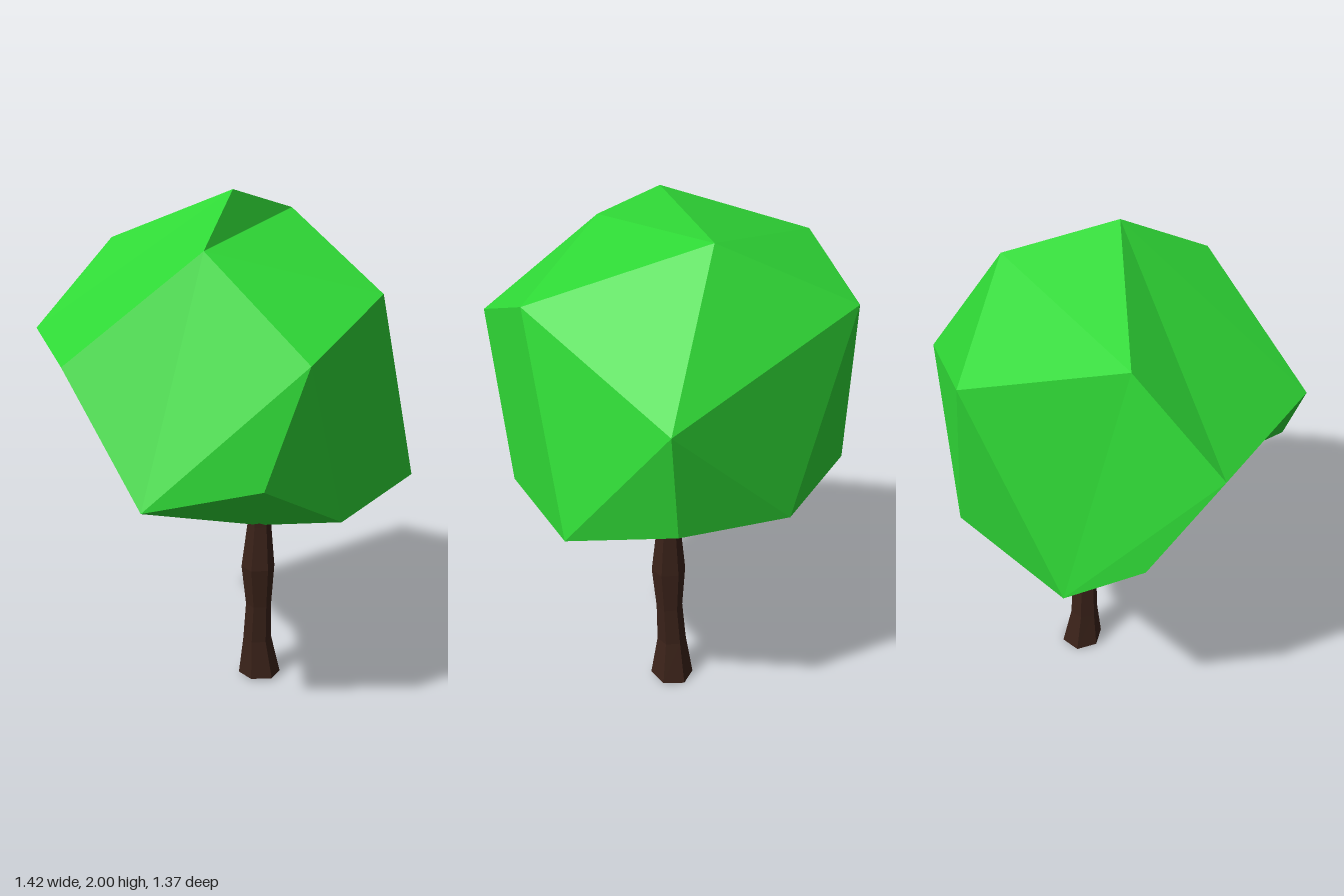
import * as THREE from 'three';

// Corners of the crown: a dented, uneven dodecahedron
const CORNERS = {
  A: [-0.03, 2.0, 0.03], B: [0.35, 1.9, -0.11], C: [-0.3, 1.83, 0.24], D: [0.25, 1.67, 0.53],
  E: [-0.19, 1.51, 0.68], F: [-0.715, 1.44, -0.02], G: [0.71, 1.38, 0.07], H: [-0.63, 1.0, 0.34],
  I: [-0.32, 1.09, 0.61], J: [0.03, 0.9, 0.6], K: [0.54, 0.92, 0.42], L: [0.66, 0.98, 0.04],
  M: [0.35, 1.67, -0.61], N: [-0.2, 1.78, -0.55], O: [0, 0.91, -0.685], P: [-0.52, 1.45, -0.6],
  Q: [0.48, 0.93, -0.38], R: [-0.28, 1.06, -0.65], S: [-0.38, 1.01, 0.04], T: [0.11, 0.675, 0.015],
};
// Twelve five-sided faces, each fanned from its first corner
const FACES = ['CABDE', 'BGMNA', 'ANPFC', 'HFCEI', 'JKDEI', 'GBDKL',
  'QLGMO', 'OMNPR', 'SRPFH', 'TSHIJ', 'TJKLQ', 'TQORS'];

function crownGeometry() {
  const centre = new THREE.Vector3(0, 1.33, 0);
  const points = [];
  for (const face of FACES) {
    const v = [...face].map((name) => new THREE.Vector3(...CORNERS[name]));
    const normal = new THREE.Vector3();
    const middle = new THREE.Vector3();
    v.forEach((p, i) => {
      normal.add(p.clone().cross(v[(i + 1) % 5]));
      middle.addScaledVector(p, 0.2);
    });
    // Turn the face outward
    if (normal.dot(middle.sub(centre)) < 0) v.reverse().unshift(v.pop());
    for (let i = 1; i < 4; i++) points.push(v[0], v[i], v[i + 1]);
  }
  const geometry = new THREE.BufferGeometry().setFromPoints(points);
  geometry.computeVertexNormals();
  return geometry;
}

// Trunk rings: height, centre x, centre z, radius
const RINGS = [
  [0.005, 0.125, 0.003, 0.086], [0.17, 0.113, 0.003, 0.058], [0.33, 0.112, 0.012, 0.052],
  [0.5, 0.105, 0.015, 0.067], [0.68, 0.11, 0.015, 0.048], [0.76, 0.11, 0.015, 0.042],
];

function trunkGeometry() {
  const sides = 6;
  const geometry = new THREE.CylinderGeometry(1, 1, 1, sides, RINGS.length - 1);
  const pos = geometry.attributes.position;
  for (let i = 0; i < pos.count; i++) {
    const level = Math.round((pos.getY(i) + 0.5) * (RINGS.length - 1));
    const [y, cx, cz, r] = RINGS[level];
    const x = pos.getX(i), z = pos.getZ(i);
    // The foot is cut slightly aslant
    const tilt = level === 0 ? 0.005 * (z - x) : 0;
    pos.setXYZ(i, cx + x * r, y + tilt, cz + z * r);
  }
  geometry.computeVertexNormals();
  return geometry;
}

function part(name, geometry, color) {
  const mesh = new THREE.Mesh(geometry, new THREE.MeshStandardMaterial({ color, flatShading: true }));
  mesh.name = name;
  return mesh;
}

export function createModel() {
  const tree = new THREE.Group();
  tree.name = 'tree';
  tree.add(part('crown', crownGeometry(), 0x2fd936));
  tree.add(part('trunk', trunkGeometry(), 0x3a2219));
  return tree;
}
